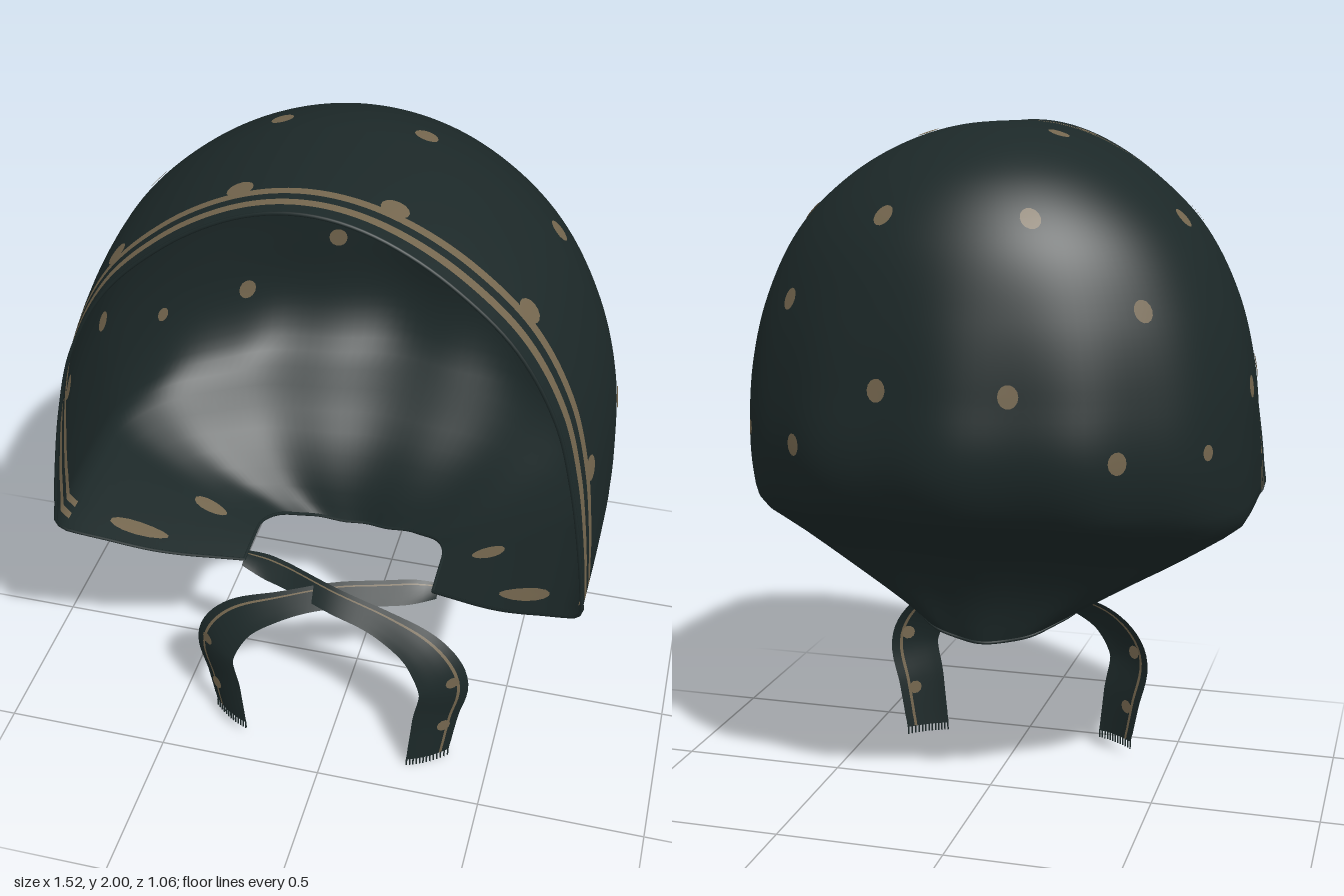
import * as THREE from 'three';

const cloth = new THREE.MeshStandardMaterial({ color: 0x1c2828, side: THREE.DoubleSide });
cloth.name = 'dark cloth';
const tan = new THREE.MeshStandardMaterial({ color: 0x74664e, side: THREE.DoubleSide });
tan.name = 'tan print';
const ramp = THREE.MathUtils.smoothstep;

// Hood profile by height: half width, rim half width, rim depth, back depth
const H = [2, 1.95, 1.85, 1.7, 1.5, 1.3, 1.1, 0.95, 0.87, 0.8, 0.7, 0.6];
const W = [0, 0.25, 0.43, 0.585, 0.69, 0.742, 0.757, 0.757, 0.745, 0.655, 0.49, 0.29];
const RIM = [0, 0.21, 0.37, 0.525, 0.635, 0.688, 0.722, 0.74, 0.74, 0.655, 0.49, 0.29];
const FRONT = [0.52, 0.52, 0.52, 0.52, 0.52, 0.52, 0.52, 0.52, 0.515, 0.46, 0.37, 0.24];
const BACK = [0.1, -0.14, -0.3, -0.41, -0.475, -0.51, -0.523, -0.455, -0.345, -0.23, -0.14, -0.11];
const MID = 0.1;
const toQ = (y) => Math.sqrt((2 - y) / 1.4);
const Q = H.map(toQ);

// Smooth interpolation of a profile table
function sample(table, q) {
  let i = 0;
  while (i < Q.length - 2 && q > Q[i + 1]) i++;
  const slope = (j) => {
    const a = Math.max(0, j - 1), b = Math.min(Q.length - 1, j + 1);
    return (table[b] - table[a]) / (Q[b] - Q[a]);
  };
  const h = Q[i + 1] - Q[i], t = (q - Q[i]) / h, t2 = t * t, t3 = t2 * t;
  return table[i] * (2 * t3 - 3 * t2 + 1) + table[i + 1] * (3 * t2 - 2 * t3)
    + h * (slope(i) * (t3 - 2 * t2 + t) + slope(i + 1) * (t3 - t2));
}

// Hood surface: u < 0 runs forward to the rim, u > 0 is the angle round the back
function hoodPoint(q, u, side) {
  const k = Math.max(0, -u), a = Math.max(0, u), s = Math.sin(a);
  const w = sample(W, q), y = 2 - 1.4 * q * q;
  const dip = 0.1 * ramp(0.87 - y, 0, 0.27) * s * s;
  const fold = 1 + 0.018 * Math.cos(12 * a) * s * s * ramp(1.75 - y, 0, 0.8);
  return new THREE.Vector3(
    side * (w - (w - sample(RIM, q)) * k * k) * Math.cos(a) * fold,
    y - dip - 0.008 * k * k,
    MID + k * (sample(FRONT, q) - MID) - (MID - sample(BACK, q)) * s * fold);
}

// Grid of points to a mesh; striped cells take the tan material
function gridMesh(name, rows, striped) {
  const n = rows[0].length, faces = [[], []];
  for (let r = 0; r < rows.length - 1; r++) for (let c = 0; c < n - 1; c++) {
    const a = r * n + c, b = a + n;
    faces[striped(c, r) ? 1 : 0].push(a, b, a + 1, b, b + 1, a + 1);
  }
  const geo = new THREE.BufferGeometry().setFromPoints(rows.flat());
  geo.setIndex(faces.flat());
  geo.addGroup(0, faces[0].length, 0);
  geo.addGroup(faces[0].length, faces[1].length, 1);
  geo.computeVertexNormals();
  const mesh = new THREE.Mesh(geo, [cloth, tan]);
  mesh.name = name;
  return mesh;
}

const STRIPES = [0, 0.04, 0.065, 0.09, 0.115];
function hoodRow(q) {
  const span = sample(FRONT, q) - MID, us = STRIPES.map((d) => -(1 - d / span));
  for (let i = 1; i <= 5; i++) us.push(us[4] * (1 - i / 5));
  for (let i = 1; i <= 36; i++) us.push((i / 36) * Math.PI / 2);
  const right = us.map((u) => hoodPoint(q, u, -1));
  const left = us.slice(0, -1).reverse().map((u) => hoodPoint(q, u, 1));
  return [...right, ...left];
}

// Printed spot that follows the cloth on both faces, stretched down the slope
function spot(y, z, side, r, stretch) {
  const q = toQ(y), f = sample(FRONT, q), b = sample(BACK, q);
  const u = z > MID ? -(z - MID) / (f - MID) : Math.asin(Math.min(1, (MID - z) / (MID - b)));
  const e = 0.01;
  const across = hoodPoint(q, u + e, side).sub(hoodPoint(q, u - e, side)).divideScalar(2 * e);
  const down = hoodPoint(q + e, u, side).sub(hoodPoint(q - e, u, side)).divideScalar(2 * e);
  const n = across.clone().cross(down).normalize();
  const group = new THREE.Group();
  group.name = 'spot';
  for (const s of [-1, 1]) {
    const geo = new THREE.CircleGeometry(r, 14), pos = geo.attributes.position;
    for (let i = 0; i < pos.count; i++) {
      const dq = pos.getY(i) * stretch / down.length(), du = pos.getX(i) / across.length();
      const p = hoodPoint(q + dq, u + du, side).addScaledVector(n, s * 0.004);
      pos.setXYZ(i, p.x, p.y, p.z);
    }
    geo.computeVertexNormals();
    const face = new THREE.Mesh(geo, tan);
    face.name = 'spotFace';
    group.add(face);
  }
  return group;
}

// Ribbon that leaves one side of the neck, crosses over and hangs on the other
function tie(side, drop, lift) {
  const group = new THREE.Group();
  group.name = side > 0 ? 'leftTie' : 'rightTie';
  const path = new THREE.CatmullRomCurve3([
    [-0.3, 0.57, 0.21], [-0.16, 0.565, 0.25], [0, 0.555, 0.29 + lift], [0.16, 0.51, 0.33],
    [0.29, 0.44, 0.35], [0.355, 0.33, 0.36], [0.335, 0.19, 0.36], [0.315, drop, 0.365],
  ].map(([x, y, z]) => new THREE.Vector3(x * side, y, z)));
  const across = [-0.5, -0.35, -0.2, 0, 0.15, 0.28, 0.34, 0.5];
  // The outer edge leans back all the way, so the tails turn outward
  const place = (t, k) => {
    const p = path.getPoint(t), d = path.getTangent(t);
    const turn = ramp(t, 0.35, 0.7), end = ramp(t, 0.75, 1);
    const w = (0.06 + 0.075 * turn - 0.015 * end) * ramp(t, -0.06, 0.1);
    const n = new THREE.Vector3(-d.y, d.x, 0).normalize().multiplyScalar(side * w * k);
    if (t > 0.97) n.y = 0;
    p.add(n);
    p.z += -k * (0.05 + 0.025 * turn) + 0.02 * (0.5 - 2 * k * k) * turn;
    return p;
  };
  const rows = [];
  for (let i = 0; i <= 48; i++) rows.push(across.map((k) => place(i / 48, k)));
  group.add(gridMesh('ribbon', rows, (c) => c === 5));
  // Printed spots on both faces of the ribbon
  for (const t of [0.7, 0.88]) for (const s of [-1, 1]) {
    const dot = new THREE.Mesh(new THREE.CircleGeometry(0.022, 10), tan);
    const normal = new THREE.Vector3(0.58 * side, 0, 0.81).multiplyScalar(s);
    dot.name = 'ribbonSpot';
    dot.position.copy(place(t, 0.2)).addScaledVector(normal, 0.006);
    dot.rotation.y = Math.atan2(normal.x, normal.z);
    group.add(dot);
  }
  // Fringe
  for (let i = 0; i < 13; i++) {
    const strand = new THREE.Mesh(new THREE.BoxGeometry(0.004, 0.026, 0.004), cloth);
    strand.name = 'fringe';
    strand.position.copy(place(1, -0.48 + i * 0.08));
    strand.position.y -= 0.011;
    group.add(strand);
  }
  return group;
}

export function createModel() {
  const model = new THREE.Group();
  model.name = 'headscarf';

  // Hood, with two stripes along the face rim down to the jaw corner
  const rows = [];
  for (let i = 0; i <= 72; i++) rows.push(hoodRow(i / 72));
  const last = rows[0].length - 2;
  model.add(gridMesh('hood', rows, (c, r) => r < 65 && [1, 3].includes(Math.min(c, last - c))));

  // Rolled hems along the face rim and the neck edge
  const rim = rows.map((r) => r[0]).reverse().concat(rows.slice(1).map((r) => r[r.length - 1]));
  const hems = { faceHem: rim, neckHem: rows[72] };
  for (const [name, points] of Object.entries(hems)) {
    const curve = new THREE.CatmullRomCurve3(points);
    const hem = new THREE.Mesh(new THREE.TubeGeometry(curve, 140, 0.005, 6), cloth);
    hem.name = name;
    model.add(hem);
  }

  // Spots as height, depth, radius and stretch, mirrored
  const spots = [[1.967, 0.03], [1.74, 0.03], [1.27, 0.07], [1.52, -0.29], [1.13, -0.2, 0.02],
    [1.13, -0.4], [1.76, -0.34], [1.31, -0.49], [1.965, 0.395, 0.032], [1.73, 0.395, 0.032],
    [1.28, 0.4, 0.032], [0.67, 0.12, 0.025, 2.2], [0.75, 0.35, 0.026, 3.6]];
  for (const [y, z, r = 0.028, stretch = 1.15] of spots) {
    for (const side of [-1, 1]) model.add(spot(y, z, side, r, stretch));
  }

  model.add(tie(1, 0.026, 0.02), tie(-1, 0.055, 0));
  return model;
}
